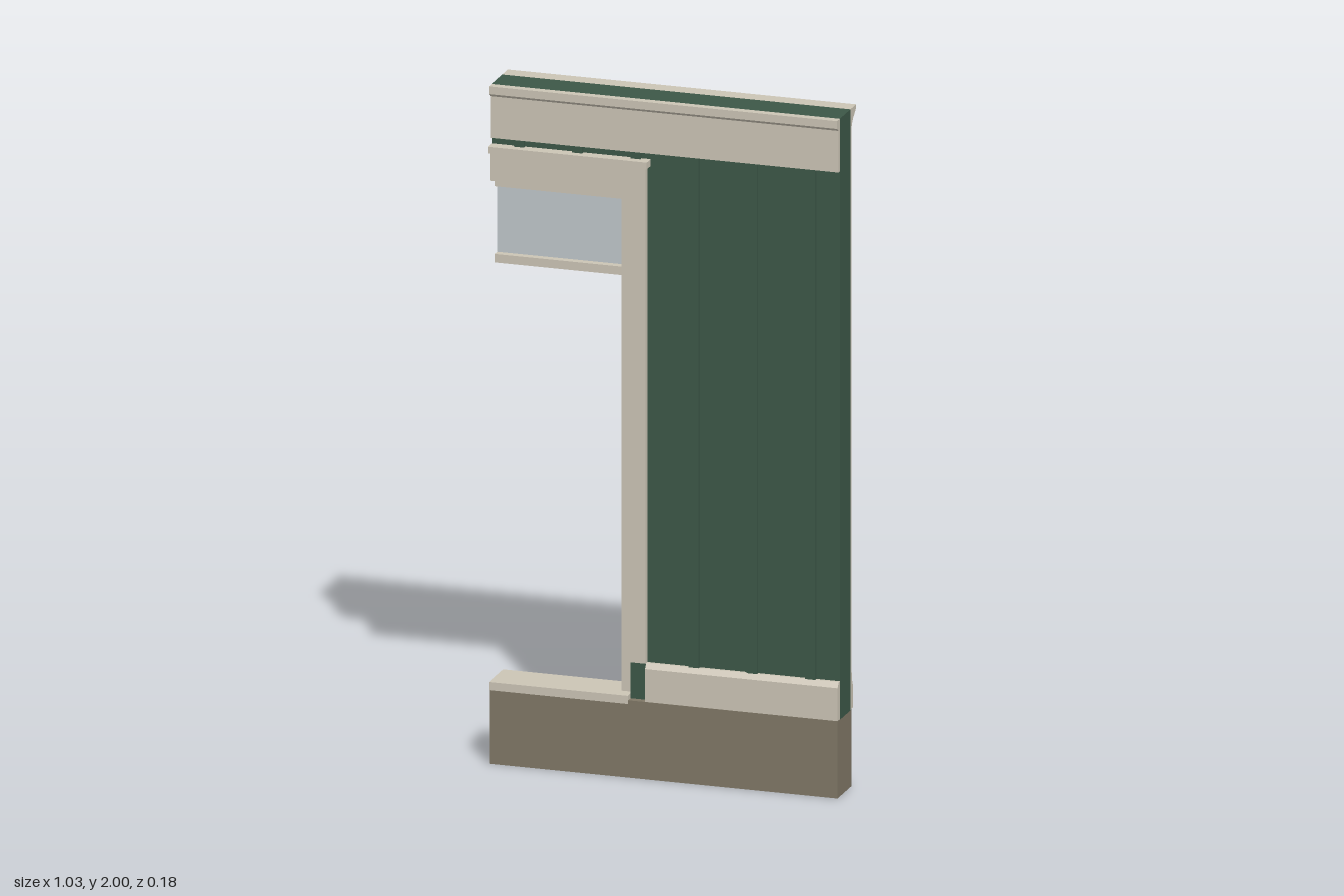
import * as THREE from 'three';

const mat = (name, color) => {
  const m = new THREE.MeshStandardMaterial({ color });
  m.name = name;
  return m;
};

export function createModel() {
  const group = new THREE.Group();
  const trim = mat('cream trim', 0xcbc4b5);
  const siding = mat('green siding', 0x3c5747);
  const stone = mat('stone base', 0x7f7766);
  const glass = mat('pale glass', 0xbfc6ca);
  const L = -0.517, R = 0.517;      // wall ends
  const open = -0.105;              // edge of the door opening
  const head = 1.72;                // top of the door opening

  const add = (name, geo, material) => {
    const mesh = new THREE.Mesh(geo, material);
    mesh.name = name;
    group.add(mesh);
    return mesh;
  };
  // box from its min and max limits
  const box = (name, m, x0, x1, y0, y1, z0, z1) =>
    add(name, new THREE.BoxGeometry(x1 - x0, y1 - y0, z1 - z0)
      .translate((x0 + x1) / 2, (y0 + y1) / 2, (z0 + z1) / 2), m);
  // moulding: a (z, y) profile run along x
  const moulding = (name, m, x0, x1, pts) => {
    const shape = new THREE.Shape(pts.map(p => new THREE.Vector2(...p)));
    const geo = new THREE.ExtrudeGeometry(shape, { depth: x1 - x0, bevelEnabled: false });
    add(name, geo.rotateY(-Math.PI / 2).translate(x1, 0, 0), m);
  };
  // wall slab with the opening cut out of its lower corner
  const slab = (name, m, z0, z1) => {
    const pts = [[open, 0.226], [R, 0.226], [R, 2], [L, 2], [L, head], [open, head]];
    const shape = new THREE.Shape(pts.map(p => new THREE.Vector2(...p)));
    add(name, new THREE.ExtrudeGeometry(shape, { depth: z1 - z0, bevelEnabled: false })
      .translate(0, 0, z0), m);
  };

  // base and threshold
  box('foundation', stone, L, open, 0, 0.218, -0.048, 0.074);
  box('foundation', stone, open, R, 0, 0.228, -0.048, 0.074);
  box('threshold', trim, L, open, 0.218, 0.242, -0.049, 0.077);

  // outer wall and inner lining
  slab('outerWall', siding, -0.041, 0.053);
  slab('innerLining', trim, -0.048, -0.041);

  // battens on the siding, full height beside the door, short above it
  for (let i = 0; i < 6; i++) {
    const x = -0.433 + i * 0.173;
    box('batten', siding, x - 0.015, x + 0.015, i < 3 ? 1.825 : 0.34, 1.845, 0.053, 0.064);
  }

  // outside trim
  moulding('frieze', trim, L, R, [[0.053, 1.845], [0.066, 1.845], [0.066, 1.968],
    [0.077, 1.977], [0.077, 2], [0.053, 2]]);
  moulding('outerBaseboard', trim, -0.055, R, [[0.053, 0.228], [0.073, 0.228],
    [0.073, 0.325], [0.062, 0.34], [0.053, 0.34]]);

  // door casing
  box('sideCasing', trim, open, -0.055, 0.34, head, 0.053, 0.071);
  box('headCasing', trim, L, -0.055, head, 1.805, 0.053, 0.071);
  box('casingCap', trim, L, -0.045, 1.805, 1.825, 0.053, 0.088);

  // inside trim
  moulding('crown', trim, L, R, [[-0.048, 2], [-0.091, 2], [-0.091, 1.99], [-0.083, 1.982],
    [-0.068, 1.971], [-0.057, 1.958], [-0.054, 1.948], [-0.048, 1.948]]);
  moulding('innerBaseboard', trim, open, R, [[-0.048, 0.34], [-0.052, 0.335], [-0.055, 0.312],
    [-0.062, 0.295], [-0.062, 0.228], [-0.048, 0.228]]);

  // door frame
  box('sideJamb', trim, -0.137, open, 0.242, head, -0.032, 0.036);
  box('headJamb', trim, L, -0.137, 1.69, head, -0.025, 0.025);

  // transom window
  box('transomRail', trim, L, -0.137, 1.465, 1.49, -0.027, 0.025);
  box('transomGlass', glass, L, -0.137, 1.49, 1.69, -0.003, 0.003);
  for (const x of [-0.383, -0.253])
    box('transomMuntin', trim, x - 0.007, x + 0.007, 1.49, 1.69, -0.012, -0.003);

  return group;
}
